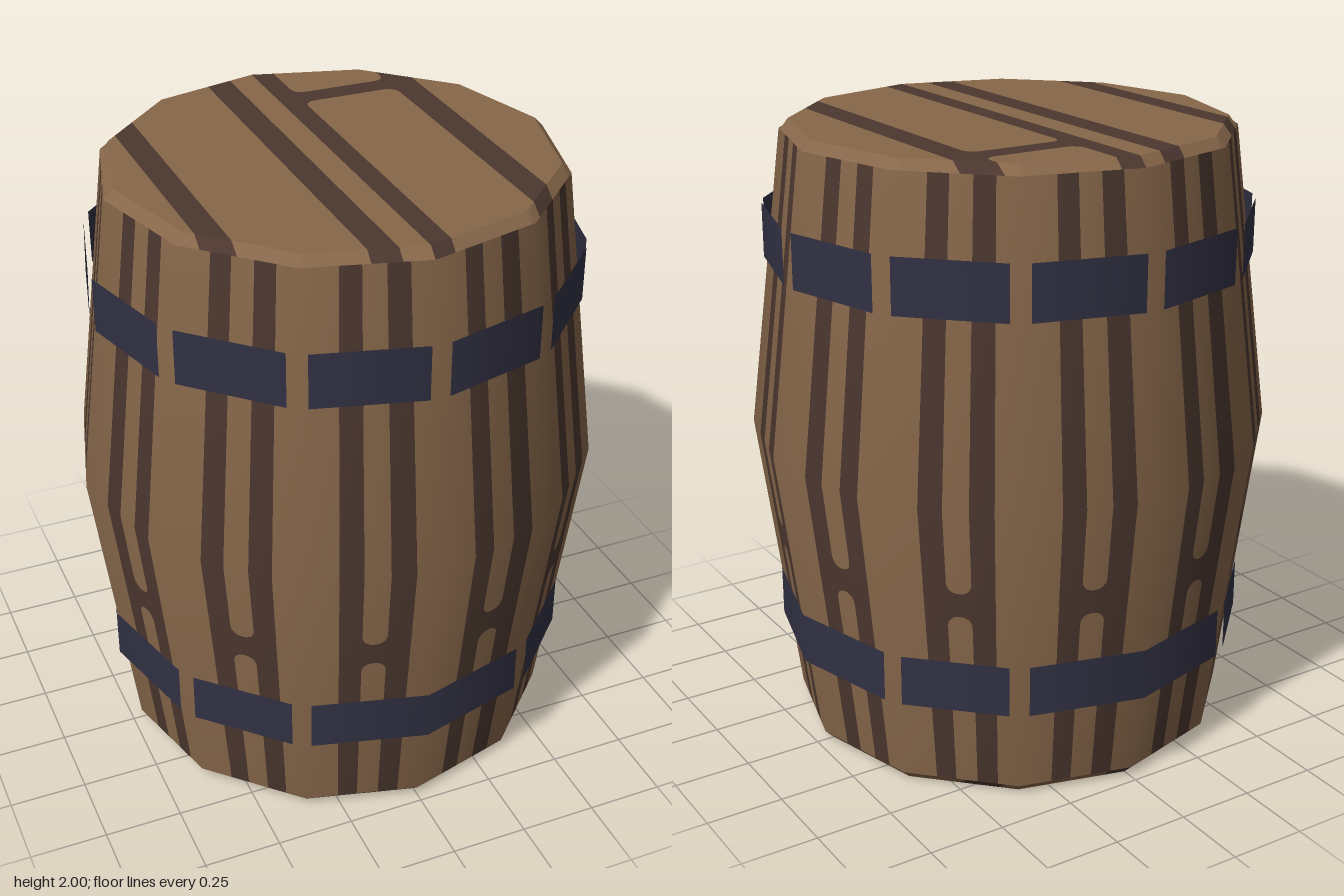
import * as THREE from 'three';

const SIDES = 12;
const RIM = 0.69, EDGE = 0.72, BULGE = 0.845, CHAMFER = 0.03;

const wood = new THREE.MeshStandardMaterial({ color: 0x87674a });
wood.name = 'wood';
const darkWood = new THREE.MeshStandardMaterial({ color: 0x4b372f });
darkWood.name = 'dark wood';
const iron = new THREE.MeshStandardMaterial({ color: 0x323144, side: THREE.DoubleSide });
iron.name = 'blue iron';

// Collects quads (corners counter-clockwise from outside) into one mesh.
class Surface {
  constructor(name, material) {
    Object.assign(this, { name, material, pos: [], nor: [] });
  }
  quad(corners, normals) {
    const [a, b, c, d] = corners;
    const flat = c.clone().sub(a).cross(d.clone().sub(b));
    if (flat.length() < 1e-9) return;
    flat.normalize();
    for (const i of [0, 1, 2, 0, 2, 3]) {
      this.pos.push(...corners[i].toArray());
      this.nor.push(...(normals ? normals[i] : flat).toArray());
    }
  }
  mesh() {
    const g = new THREE.BufferGeometry();
    g.setAttribute('position', new THREE.Float32BufferAttribute(this.pos, 3));
    g.setAttribute('normal', new THREE.Float32BufferAttribute(this.nor, 3));
    const m = new THREE.Mesh(g, this.material);
    m.name = this.name;
    return m;
  }
}

const corner = (k) => {
  const a = (k * Math.PI * 2) / SIDES;
  return new THREE.Vector3(Math.sin(a), 0, Math.cos(a));
};
const wallRadius = (y) => EDGE + (BULGE - EDGE) * (1 - Math.abs(y - 1) / (1 - CHAMFER));

// A point and its smooth normal at fraction f of side k.
function sidePoint(k, f, y, radius) {
  return corner(k).lerp(corner(k + 1), f).multiplyScalar(radius).setY(y);
}
function sideNormal(k, f, y) {
  return corner(k).lerp(corner(k + 1), f).normalize().setY(0.13 * (y - 1)).normalize();
}
function sideQuad(surface, k, f0, f1, lo, hi, radiusAt, slope = true) {
  const pts = [[f0, lo[0]], [f1, lo[1]], [f1, hi[1]], [f0, hi[0]]];
  surface.quad(
    pts.map(([f, y]) => sidePoint(k, f, y, radiusAt(y))),
    pts.map(([f, y]) => sideNormal(k, f, slope ? y : 1))
  );
}

// Sub-cuts across a plank, and the half height of its rounded cross joint.
const ROUND = [0, 0.02, 0.07, 0.15, 0.3, 0.5, 0.7, 0.85, 0.93, 0.98, 1];
function jointHalf(t, width, half, r) {
  const into = Math.max(0, r - Math.min(t, 1 - t) * width);
  return half + r - Math.sqrt(Math.max(0, r * r - into * into));
}

// Bulging wall: each side has two dark joints around a narrow split plank.
function makeWall() {
  const light = new Surface('staves', wood);
  const dark = new Surface('staveJoints', darkWood);
  const LO = CHAMFER, HI = 2 - CHAMFER, A = 0.46, B = 0.645;
  const columns = [[0, 0.29, light], [0.29, A, dark], [B, 0.82, dark], [0.82, 1, light]];
  for (let k = 0; k < SIDES; k++) {
    for (const [f0, f1, s] of columns) {
      sideQuad(s, k, f0, f1, [LO, LO], [1, 1], wallRadius);
      sideQuad(s, k, f0, f1, [1, 1], [HI, HI], wallRadius);
    }
    for (let i = 0; i + 1 < ROUND.length; i++) {
      const t = [ROUND[i], ROUND[i + 1]];
      const [f0, f1] = t.map((v) => A + (B - A) * v);
      const h = t.map((v) => jointHalf(v, 0.078, 0.04, 0.035));
      const below = h.map((v) => 0.68 - v), above = h.map((v) => 0.68 + v);
      sideQuad(light, k, f0, f1, [LO, LO], below, wallRadius);
      sideQuad(dark, k, f0, f1, below, above, wallRadius);
      sideQuad(light, k, f0, f1, above, [1, 1], wallRadius);
      sideQuad(light, k, f0, f1, [1, 1], [HI, HI], wallRadius);
    }
  }
  return [light.mesh(), dark.mesh()];
}

// Half depth of the twelve-sided outline at x.
function outlineZ(x, r) {
  x = Math.abs(x);
  for (let k = 0; k < 3; k++) {
    const a = corner(k).multiplyScalar(r), b = corner(k + 1).multiplyScalar(r);
    if (x <= b.x) return THREE.MathUtils.lerp(a.z, b.z, (x - a.x) / (b.x - a.x));
  }
  return 0;
}

// End board with a chamfered rim, cut into planks along z.
function makeLid(name) {
  const light = new Surface(name + 'Planks', wood);
  const dark = new Surface(name + 'Joints', darkWood);
  const joints = [[-0.57, -0.49], [-0.17, -0.085], [0, 0.07], [0.39, 0.48]];
  const P0 = 0.07, P1 = 0.39;
  const cuts = new Set(joints.flat());
  for (const r of [RIM, EDGE]) {
    for (let k = 0; k <= 3; k++) {
      cuts.add(r * Math.sin((k * Math.PI) / 6));
      cuts.add(-r * Math.sin((k * Math.PI) / 6));
    }
  }
  ROUND.forEach((t) => cuts.add(P0 + (P1 - P0) * t));
  const xs = [...cuts].sort((a, b) => a - b);
  for (let i = 0; i + 1 < xs.length; i++) {
    const x = [xs[i], xs[i + 1]], mid = (x[0] + x[1]) / 2;
    if (x[1] - x[0] < 1e-6) continue;
    const board = joints.some(([a, b]) => mid > a && mid < b) ? dark : light;
    const outer = x.map((v) => [outlineZ(v, EDGE), 2 - CHAMFER]);
    const inner = x.map((v) => [
      outlineZ(v, RIM),
      2 - CHAMFER * Math.max(0, (Math.abs(v) - RIM) / (EDGE - RIM)),
    ]);
    // Rows of [z, y] pairs from back to front, with the surface between them.
    const flip = (row) => row.map(([z, y]) => [-z, y]);
    const rows = [flip(outer), flip(inner), inner, outer];
    const fill = [board, board, board];
    if (mid > P0 && mid < P1) {
      const h = x.map((v) => jointHalf((v - P0) / (P1 - P0), P1 - P0, 0.04, 0.035));
      rows.splice(2, 0, h.map((v) => [-0.44 - v, 2]), h.map((v) => [-0.44 + v, 2]));
      fill.splice(2, 0, dark, light);
    }
    for (let j = 0; j + 1 < rows.length; j++) {
      const p = (row, side) => new THREE.Vector3(x[side], row[side][1], row[side][0]);
      fill[j].quad([p(rows[j + 1], 0), p(rows[j + 1], 1), p(rows[j], 1), p(rows[j], 0)]);
    }
  }
  const g = new THREE.Group();
  g.name = name;
  g.add(light.mesh(), dark.mesh());
  return g;
}

// Thin hoop plates with a gap at each corner that hasGap accepts.
function makeHoop(name, y0, y1, radius, hasGap) {
  const s = new Surface(name, iron);
  const gap = 0.078;
  for (let k = 0; k < SIDES; k++) {
    const f0 = hasGap(k) ? gap : 0, f1 = hasGap(k + 1) ? 1 - gap : 1;
    sideQuad(s, k, f0, f1, [y0, y0], [y1, y1], () => radius, false);
  }
  return s.mesh();
}

export function createModel() {
  const barrel = new THREE.Group();
  barrel.name = 'barrel';
  const base = makeLid('base');
  base.rotation.x = Math.PI;
  base.position.y = 2;
  barrel.add(
    ...makeWall(),
    makeLid('lid'),
    base,
    makeHoop('upperHoop', 1.565, 1.74, 0.79, () => true),
    makeHoop('lowerHoop', 0.31, 0.475, 0.781, (k) => k % 3 !== 0)
  );
  return barrel;
}
